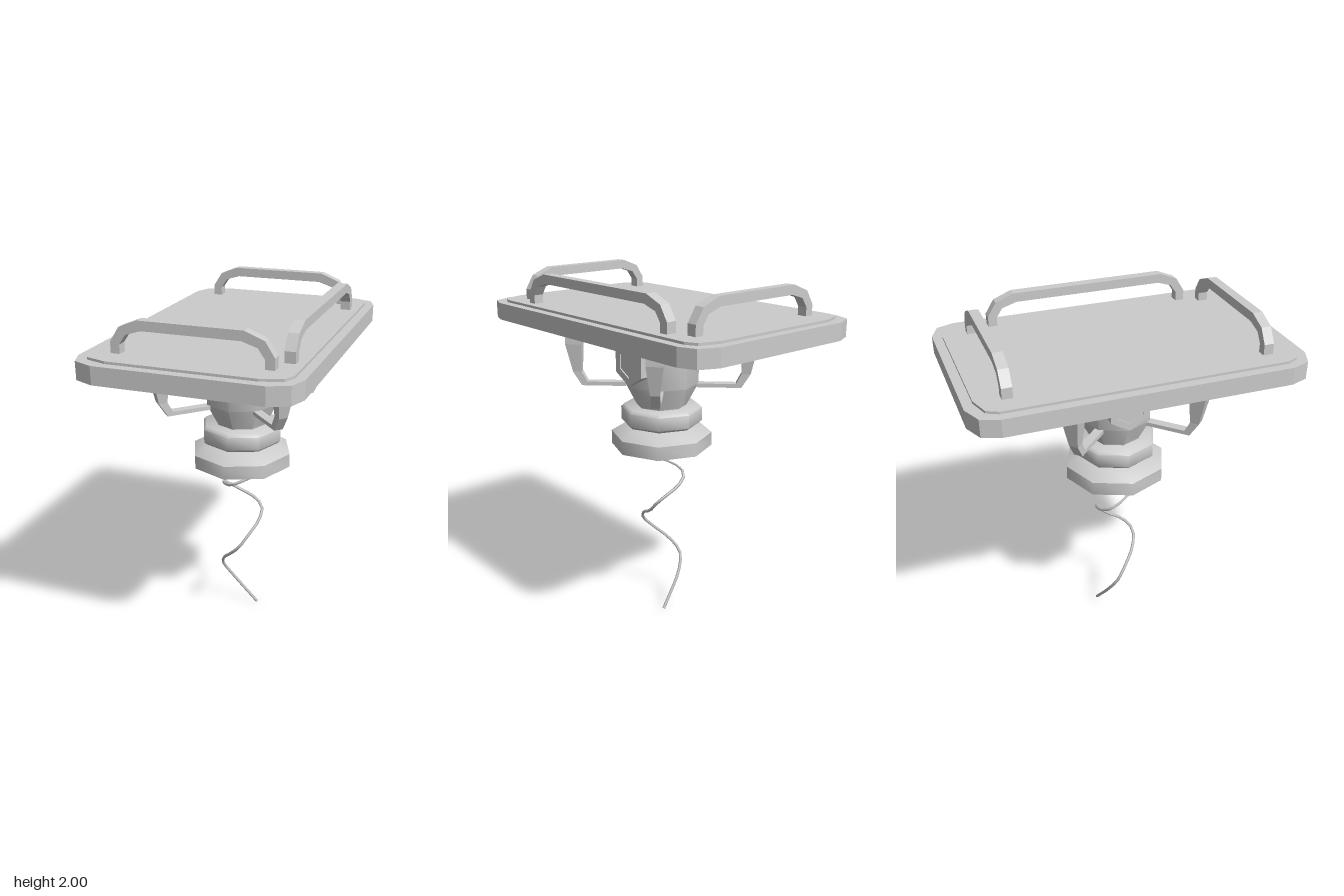
import * as THREE from 'three';
import { toCreasedNormals } from 'three/addons/utils/BufferGeometryUtils.js';

const grey = new THREE.MeshStandardMaterial({ color: 0xcccccc });
const V2 = (p) => new THREE.Vector2(p[0], p[1]);

function add(parent, name, geometry) {
  const mesh = new THREE.Mesh(geometry, grey);
  mesh.name = name;
  parent.add(mesh);
  return mesh;
}

const extrude = (shape, depth) => new THREE.ExtrudeGeometry(shape, { depth, bevelEnabled: false });

// Slab with cut corners; corner = outline points of the +x +z corner
function slab(corner, y, height) {
  const back = [...corner].reverse();
  const pts = [
    ...corner,
    ...back.map(([x, z]) => [-x, z]),
    ...corner.map(([x, z]) => [-x, -z]),
    ...back.map(([x, z]) => [x, -z]),
  ];
  return extrude(new THREE.Shape(pts.map(V2)), height).rotateX(-Math.PI / 2).translate(0, y, 0);
}

// Grab rail standing on the top plate, spanning x = -half..half
function rail(half, width) {
  const outer = [[half, 1.82], [half, 1.885], [half - 0.048, 1.96], [half - 0.148, 2]];
  const inner = [[half - 0.163, 1.95], [half - 0.083, 1.925], [half - 0.048, 1.875], [half - 0.048, 1.82]];
  const flip = (list) => [...list].reverse().map(([x, y]) => [-x, y]);
  const pts = [...outer, ...flip(outer), ...flip(inner), ...inner];
  return extrude(new THREE.Shape(pts.map(V2)), width).translate(0, 0, -width / 2);
}

// Tapered strut running out along +x, lofted through four-cornered sections
function strutGeometry() {
  // outer radius, outer y, inner radius, inner y, half width
  const sections = [
    [0.535, 1.73, 0.445, 1.73, 0.045],
    [0.535, 1.62, 0.445, 1.62, 0.045],
    [0.5, 1.46, 0.45, 1.46, 0.025],
    [0.45, 1.38, 0.42, 1.402, 0.025],
    [0.2, 1.38, 0.2, 1.402, 0.025],
  ];
  const pos = [];
  const index = [];
  sections.forEach(([ro, yo, ri, yi, w], s) => {
    pos.push(ro, yo, w, ro, yo, -w, ri, yi, -w, ri, yi, w);
    if (s === 0) return;
    for (let k = 0; k < 4; k++) {
      const a = (s - 1) * 4 + k;
      const b = (s - 1) * 4 + ((k + 1) % 4);
      index.push(a, a + 4, b, b, a + 4, b + 4);
    }
  });
  const n = (sections.length - 1) * 4;
  index.push(0, 1, 2, 0, 2, 3, n, n + 2, n + 1, n, n + 3, n + 2);
  const g = new THREE.BufferGeometry();
  g.setAttribute('position', new THREE.Float32BufferAttribute(pos, 3));
  g.setIndex(index);
  return toCreasedNormals(g, 0.1);
}

// Pointy-topped hexagon outline
const hexagon = (r) => [0, 1, 2, 3, 4, 5].map((i) => {
  const a = Math.PI / 2 + (i * Math.PI) / 3;
  return new THREE.Vector2(r * Math.cos(a), r * Math.sin(a));
});

export function createModel() {
  const model = new THREE.Group();
  model.name = 'cableHungPlatform';

  // Tray and its raised top panel
  add(model, 'tray', slab([[0.57, 0.75], [0.535, 0.845], [0.43, 0.89]], 1.72, 0.095));
  add(model, 'topPanel', slab([[0.52, 0.745], [0.49, 0.805], [0.38, 0.84]], 1.81, 0.018));

  // Three grab rails: front, back and left side
  for (const z of [0.682, -0.682]) {
    add(model, z > 0 ? 'frontRail' : 'backRail', rail(0.415, 0.054)).position.z = z;
  }
  const side = add(model, 'sideRail', rail(0.58, 0.056));
  side.rotation.y = Math.PI / 2;
  side.position.x = 0.447;

  // Eight-sided column, collar and foot
  const turned = {
    column: [[0.145, 1.26], [0.145, 1.275], [0.21, 1.4], [0.21, 1.73]],
    collar: [[0, 1.165], [0.215, 1.165], [0.232, 1.18], [0.232, 1.255], [0.215, 1.272], [0, 1.272]],
    foot: [[0, 1.03], [0.29, 1.03], [0.29, 1.108], [0.19, 1.166], [0, 1.166]],
  };
  for (const [name, profile] of Object.entries(turned)) {
    add(model, name, toCreasedNormals(new THREE.LatheGeometry(profile.map(V2), 8), 0.85));
  }

  // Four diagonal struts
  const strut = strutGeometry();
  for (let i = 0; i < 4; i++) {
    add(model, 'strut', strut).rotation.y = Math.PI / 4 + (i * Math.PI) / 2;
  }

  // Hexagonal bolt with a shallow socket on each side of the column
  const ring = new THREE.Shape(hexagon(0.126));
  ring.holes.push(new THREE.Path(hexagon(0.083)));
  for (const s of [1, -1]) {
    const bolt = new THREE.Group();
    bolt.name = s > 0 ? 'leftBolt' : 'rightBolt';
    add(bolt, 'boltHead', extrude(ring, 0.1)).position.z = 0.14;
    add(bolt, 'boltSocket', extrude(new THREE.Shape(hexagon(0.083)), 0.092)).position.z = 0.14;
    bolt.position.y = 1.545;
    bolt.rotation.y = (s * Math.PI) / 2;
    model.add(bolt);
  }

  // Loosely coiled cable hanging from the foot: x, y, z
  const path = [
    [0.125, 1.027, 0], [0.05, 1.026, 0.11], [-0.06, 1.024, 0.1], [-0.12, 1.02, 0],
    [-0.06, 1.015, -0.1], [0.05, 1.005, -0.11], [0.125, 0.98, -0.01], [0.05, 0.95, 0.105],
    [-0.01, 0.925, 0.13], [-0.06, 0.9, 0.085], [-0.115, 0.87, 0], [-0.115, 0.835, -0.07],
    [-0.05, 0.79, -0.1], [0.045, 0.75, -0.1], [0.105, 0.705, -0.075], [0.105, 0.645, -0.02],
    [0.075, 0.59, 0.08], [0.03, 0.52, 0.13], [-0.04, 0.445, 0.1], [-0.1, 0.375, 0.035],
    [-0.13, 0.295, -0.025], [-0.085, 0.2, -0.065], [0.07, 0.005, -0.1],
  ].map((p) => new THREE.Vector3(...p));
  const cable = add(model, 'cable', new THREE.TubeGeometry(new THREE.CatmullRomCurve3(path), 48, 0.009, 4));
  cable.material = grey.clone();
  cable.material.side = THREE.DoubleSide;

  return model;
}
